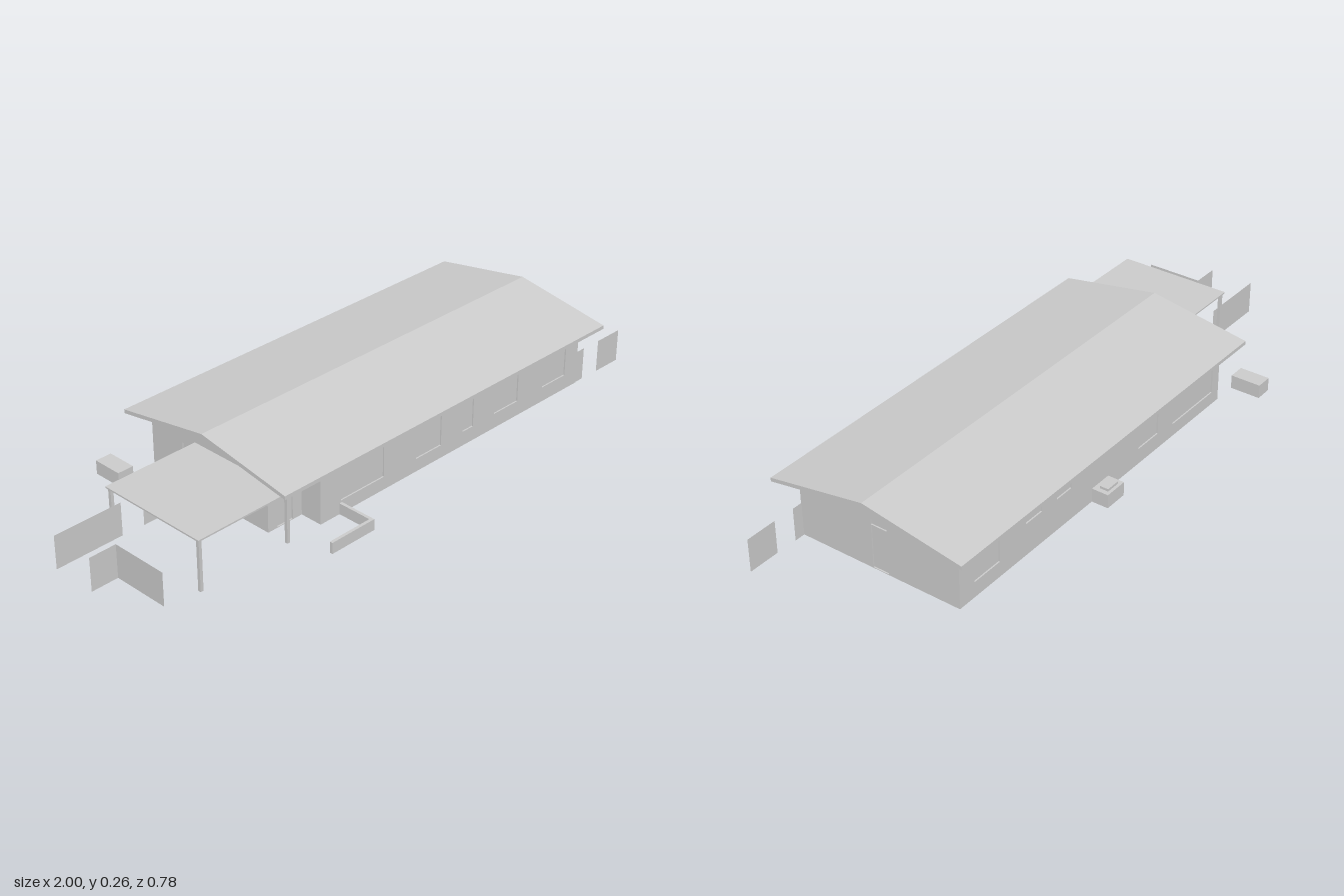
import * as THREE from 'three';

const T = 0.015; // wall thickness

export function createModel() {
  const house = new THREE.Group();
  house.name = 'house';
  const mat = new THREE.MeshStandardMaterial({ color: 0xcccccc, flatShading: true });
  const thin = new THREE.MeshStandardMaterial({ color: 0xcccccc, side: THREE.DoubleSide });

  const add = (name, geo, material = mat, parent = house) => {
    const mesh = new THREE.Mesh(geo, material);
    mesh.name = name;
    parent.add(mesh);
    return mesh;
  };
  // Box given by its limits on each axis
  const box = (name, x0, x1, y0, y1, z0, z1, parent = house) => {
    const m = add(name, new THREE.BoxGeometry(x1 - x0, y1 - y0, z1 - z0), mat, parent);
    m.position.set((x0 + x1) / 2, (y0 + y1) / 2, (z0 + z1) / 2);
    return m;
  };
  const polygon = (pts) => new THREE.Shape(pts.map((p) => new THREE.Vector2(...p)));
  const extrude = (shape, depth) => new THREE.ExtrudeGeometry(shape, { depth, bevelEnabled: false });

  // Outer wall with openings [u0, u1, y0, y1], each closed by a recessed pane
  const wall = (name, outline, openings) => {
    const group = new THREE.Group();
    group.name = name;
    const shape = polygon(outline);
    for (const [u0, u1, y0, y1] of openings) {
      shape.holes.push(new THREE.Path([[u0, y0], [u0, y1], [u1, y1], [u1, y0]].map((p) => new THREE.Vector2(...p))));
      box(y0 < 0.01 ? 'door' : 'windowPane', u0, u1, y0, y1, T * 0.3, T * 0.7, group);
    }
    add('wallPanel', extrude(shape, T), mat, group);
    house.add(group);
    return group;
  };
  const rect = (u0, u1, y1) => [[u0, 0], [u1, 0], [u1, y1], [u0, y1]];
  const under = (z) => 0.243 - 0.161 * Math.abs(z + 0.012); // underside of the roof

  // Long walls
  wall('frontWall', rect(-0.35, 0.79, under(0.265)), [
    [-0.27, -0.094, 0.043, 0.143], [0.042, 0.151, 0.043, 0.145], [0.246, 0.294, 0.048, 0.145],
    [0.39, 0.5, 0.05, 0.147], [0.62, 0.73, 0.05, 0.145],
  ]).position.z = 0.265 - T;
  wall('backWall', rect(-0.48, 0.79, under(-0.29)), [
    [0.617, 0.726, 0.05, 0.144], [0.427, 0.5, 0.105, 0.144], [0.29, 0.358, 0.105, 0.144],
    [-0.145, -0.043, 0.052, 0.143], [-0.444, -0.226, 0.042, 0.145],
  ]).position.z = -0.29;

  // Gable walls, drawn along z and turned to face sideways
  const gable = (name, z1, x, openings) => {
    const w = wall(name, [[-0.29, 0], [z1, 0], [z1, under(z1)], [-0.012, 0.243], [-0.29, under(-0.29)]], openings);
    w.rotation.y = -Math.PI / 2;
    w.position.x = x;
  };
  gable('leftGable', 0.265, 0.79, [[-0.045, 0.01, 0.002, 0.143], [-0.045, 0.01, 0.146, 0.163]]);
  gable('rightGable', 0.19, -0.48 + T, [[-0.16, -0.105, 0.002, 0.145]]);

  // Porch recess at the front right corner
  wall('porchWall', rect(-0.48, -0.35, 0.205), [[-0.445, -0.385, 0.002, 0.145]]).position.z = 0.19 - T;
  box('porchSideWall', -0.35, -0.35 + T, 0, 0.195, 0.175, 0.255);
  box('porchBeam', -0.48, -0.35, 0.178, 0.197, 0.253, 0.265);

  // Gabled roof slab
  const roof = add('roof', extrude(polygon([
    [-0.345, 0.189], [-0.012, 0.243], [0.317, 0.189], [0.317, 0.201], [-0.012, 0.257], [-0.345, 0.201],
  ]), 1.38));
  roof.rotation.y = -Math.PI / 2;
  roof.position.x = 0.845;

  // Carport canopy and its posts
  box('canopy', -0.805, -0.48, 0.163, 0.168, -0.105, 0.272);
  for (const [x, z, h] of [[-0.795, 0.262, 0.164], [-0.795, -0.095, 0.164], [-0.476, 0.262, 0.195]])
    box('post', x - 0.005, x + 0.005, 0, h, z - 0.005, z + 0.005);

  // Inner partitions along x: [x0, x1, z]
  const P = 0.005;
  for (const [x0, x1, z] of [
    [0.66, 0.775, -0.06], [0.44, 0.61, -0.06], [0.3, 0.39, -0.06], [0.08, 0.25, -0.06],
    [0.67, 0.775, 0.03], [0.42, 0.62, 0.03], [0.24, 0.37, 0.03], [0.03, 0.19, 0.03],
    [-0.2, -0.03, -0.06], [-0.465, -0.32, 0.0],
  ]) box('partition', x0, x1, 0, 0.192, z - P, z + P);
  // Inner partitions along z: [x, z0, z1]
  for (const [x, z0, z1] of [
    [0.55, -0.275, -0.06], [0.39, -0.275, -0.06], [0.25, -0.275, -0.06], [0.05, -0.275, -0.09],
    [0.56, 0.03, 0.25], [0.33, 0.03, 0.25], [0.21, 0.03, 0.25], [0.0, 0.03, 0.25],
    [-0.2, -0.275, -0.06],
  ]) box('partition', x - P, x + P, 0, 0.192, z0, z1);

  // Low L-shaped garden wall by the entrance
  box('gardenWallSide', -0.275, -0.265, 0, 0.036, 0.265, 0.39);
  box('gardenWallFront', -0.43, -0.275, 0, 0.036, 0.38, 0.39);

  // Utility boxes behind the house
  box('utilityBox', -0.615, -0.56, 0, 0.045, -0.39, -0.29);
  box('wallUnit', 0.11, 0.19, 0, 0.045, -0.345, -0.29);
  box('wallUnitCap', 0.125, 0.175, 0.045, 0.053, -0.335, -0.307);

  // Thin fence panels from (x0, z0) to (x1, z1)
  for (const [x0, z0, x1, z1] of [
    [-0.695, -0.085, -0.48, -0.085], [-1, -0.088, -0.77, -0.088], [-1, 0.06, -0.91, 0.06],
    [-0.91, 0.06, -0.91, 0.247], [0.79, 0.263, 0.825, 0.263], [0.895, 0.265, 1, 0.265],
  ]) {
    const panel = add('fencePanel', new THREE.PlaneGeometry(Math.hypot(x1 - x0, z1 - z0), 0.108), thin);
    panel.position.set((x0 + x1) / 2, 0.054, (z0 + z1) / 2);
    panel.rotation.y = -Math.atan2(z1 - z0, x1 - x0);
  }
  return house;
}
